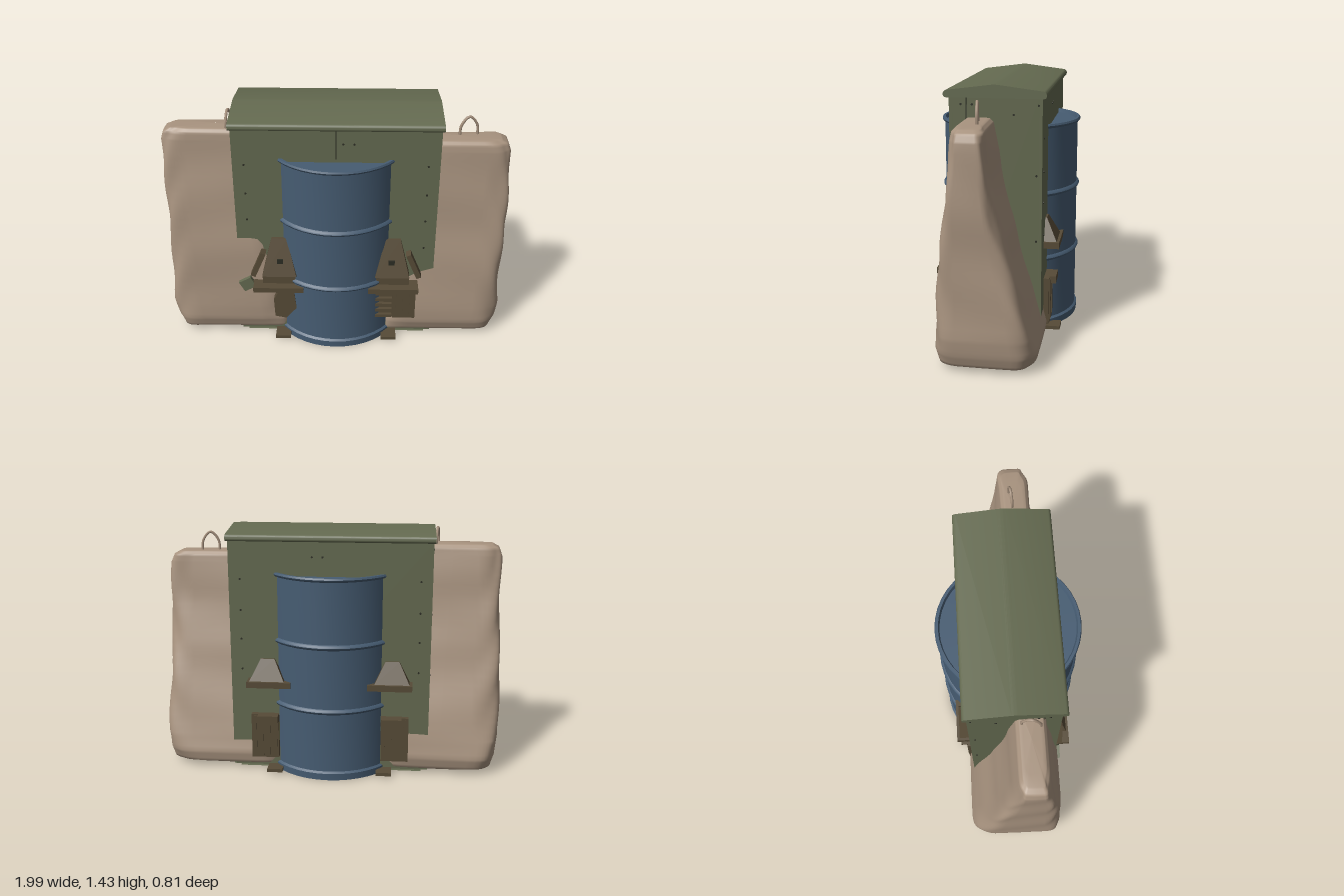
import * as THREE from 'three';
import { toCreasedNormals } from 'three/addons/utils/BufferGeometryUtils.js';

const mat = (name, color, side = THREE.FrontSide) => {
  const m = new THREE.MeshStandardMaterial({ color, side });
  m.name = name;
  return m;
};

export function createModel() {
  const model = new THREE.Group();
  const green = mat('olive green', 0x646a50, THREE.DoubleSide);
  const blue = mat('drum blue', 0x465c72);
  const tan = mat('canvas tan', 0xa8937f);
  const brown = mat('dark brown', 0x574b37, THREE.DoubleSide);
  const dark = mat('rivet dark', 0x2c2d24);

  const add = (name, geo, material, x = 0, y = 0, z = 0, parent = model) => {
    const m = new THREE.Mesh(geo, material);
    m.name = name;
    m.position.set(x, y, z);
    parent.add(m);
    return m;
  };
  // box given by its limits
  const box = (name, x0, x1, y0, y1, z0, z1, material, parent) =>
    add(name, new THREE.BoxGeometry(x1 - x0, y1 - y0, z1 - z0), material,
      (x0 + x1) / 2, (y0 + y1) / 2, (z0 + z1) / 2, parent);
  // tapered block with a flat back at z = 0 and its foot at y = 0
  const wedge = (w0, w1, h, d0, d1) => {
    const g = new THREE.BoxGeometry(1, 1, 1).toNonIndexed();
    const p = g.attributes.position;
    for (let i = 0; i < p.count; i++) {
      const top = p.getY(i) > 0;
      p.setXYZ(i, p.getX(i) * (top ? w1 : w0), top ? h : 0, p.getZ(i) > 0 ? (top ? d1 : d0) : 0);
    }
    g.computeVertexNormals();
    return g;
  };

  // Cabinet walls, open underneath
  box('cabinetFront', -0.575, 0.575, 0.02, 1.37, 0.225, 0.243, green);
  box('cabinetBack', -0.575, 0.575, 0.02, 1.37, -0.25, -0.232, green);
  for (const s of [-1, 1]) {
    const x = s * 0.566;
    box('cabinetSide', x - 0.009, x + 0.009, 0.02, 1.37, -0.232, 0.225, green);
    box('sideSeam', s * 0.577 - 0.002, s * 0.577 + 0.002, 0.9, 1.365, 0.149, 0.153, dark);
  }
  box('doorSeam', -0.002, 0.002, 1.19, 1.365, 0.242, 0.2445, dark);

  // Base plate with a recessed pyramid
  const plate = new THREE.Shape().moveTo(-0.54, -0.24).lineTo(0.54, -0.24).lineTo(0.54, 0.24).lineTo(-0.54, 0.24);
  plate.holes.push(new THREE.Path().moveTo(-0.17, -0.13).lineTo(-0.17, 0.13).lineTo(0.17, 0.13).lineTo(0.17, -0.13));
  add('basePlate', new THREE.ShapeGeometry(plate).rotateX(Math.PI / 2), green, 0, 0.005, 0);
  const recess = new THREE.ConeGeometry(Math.SQRT2, 0.1, 4, 1, true).rotateY(Math.PI / 4).scale(0.17, 1, 0.13).toNonIndexed();
  recess.computeVertexNormals();
  add('baseRecess', recess, green, 0, 0.055, 0);

  // Low gabled roof with rolled eaves
  const roof = new THREE.Shape().moveTo(-0.255, 1.365).lineTo(0.255, 1.365)
    .quadraticCurveTo(0.272, 1.365, 0.272, 1.382).quadraticCurveTo(0.272, 1.4, 0.255, 1.404)
    .lineTo(0.02, 1.434).quadraticCurveTo(0, 1.436, -0.02, 1.434).lineTo(-0.255, 1.404)
    .quadraticCurveTo(-0.272, 1.4, -0.272, 1.382).quadraticCurveTo(-0.272, 1.365, -0.255, 1.365);
  const roofGeo = new THREE.ExtrudeGeometry(roof, { depth: 1.17, bevelEnabled: false, curveSegments: 5 });
  add('roof', toCreasedNormals(roofGeo.rotateY(Math.PI / 2), 0.6), green, -0.585, 0, 0);

  // Rivets
  const rivet = new THREE.CylinderGeometry(0.006, 0.006, 0.006, 8).rotateX(Math.PI / 2);
  for (const z of [0.244, -0.251]) {
    for (const s of [-1, 1]) {
      for (const y of [0.62, 0.8, 0.97, 1.15]) add('rivet', rivet, dark, s * 0.51, y, z);
    }
    for (const x of [0.04, 0.1]) add('rivet', rivet, dark, x, 1.28, z);
  }
  for (const s of [-1, 1]) {
    for (const [y, z] of [[1.33, 0.18], [1.33, 0.12], [1.28, -0.1], [1.33, -0.23], [0.96, -0.22], [0.6, -0.22]]) {
      add('sideRivet', rivet, dark, s * 0.576, y, z).rotation.y = Math.PI / 2;
    }
  }

  // Drum running through the cabinet, open at the bottom
  const profile = [[0.375, 0.0], [0.4, 0.0], [0.402, 0.04], [0.39, 0.05]];
  for (const y of [0.415, 0.795]) {
    profile.push([0.39, y - 0.016], [0.4, y - 0.009], [0.404, y], [0.4, y + 0.009], [0.39, y + 0.016]);
  }
  profile.push([0.39, 1.165], [0.4, 1.17], [0.405, 1.18], [0.4, 1.19], [0.385, 1.19], [0.378, 1.17], [0, 1.17]);
  const drum = new THREE.LatheGeometry(profile.map(([r, y]) => new THREE.Vector2(r, y)), 40);
  add('drum', toCreasedNormals(drum, 0.7), blue);
  add('drumFootRing', new THREE.TorusGeometry(0.388, 0.012, 8, 40).rotateX(Math.PI / 2), blue, 0, 0.013, 0);

  // Soft sacks: rounded rectangular sections stacked in y, [y, front z, back z, outer x, scale]
  const sack = (s, top, swell) => {
    const rows = [
      [0.01, 0.23, -0.22, 0.9, 0.01], [0.012, 0.23, -0.22, 0.92, 0.95], [0.035, 0.255, -0.255, 0.955, 1],
      [0.1, 0.272, -0.272, 0.975, 1], [0.2, 0.265, -0.25, 0.99, 1], [0.4, 0.25, -0.19, 0.985, 1],
      [0.6, 0.23, -0.13, 0.985, 1], [0.8, 0.21, -0.075, 0.982, 1], [1.0, 0.187, -0.035, 0.978, 1],
      [1.2, 0.165, -0.01, 0.972, 1], [1.245, 0.158, -0.005, 0.962, 0.98], [1.265, 0.145, 0.01, 0.945, 0.9],
      [1.27, 0.14, 0.01, 0.93, 0.01]];
    const N = 56, SUB = 4, pos = [], idx = [];
    const count = (rows.length - 1) * SUB + 1;
    for (let r = 0; r < count; r++) {
      const k = Math.min(Math.floor(r / SUB), rows.length - 2), t = r / SUB - k;
      const [y, zf, zb, xo, sc] = rows[k].map((v, i) => THREE.MathUtils.lerp(v, rows[k + 1][i], t));
      const xi = 0.27 + 0.12 * y;
      const bulge = swell * Math.sin(Math.PI * Math.min(1, y / 1.2));
      for (let j = 0; j < N; j++) {
        const a = (j / N) * Math.PI * 2, c = Math.cos(a), n = Math.sin(a);
        const round = (v) => Math.sign(v) * Math.pow(Math.abs(v), 0.3);
        const wave = 0.005 * Math.sin(7 * y + 3 * a + s) + 0.004 * Math.sin(17 * y - 5 * a);
        const hx = ((xo - xi) / 2 + wave) * sc, hz = ((zf - zb) / 2 + bulge + wave) * sc;
        pos.push(s * ((xo + xi) / 2 + hx * round(c)), y * top / 1.27, (zf + zb) / 2 + hz * round(n));
      }
    }
    for (let r = 0; r < count - 1; r++) for (let j = 0; j < N; j++) {
      const a = r * N + j, b = r * N + (j + 1) % N, c = a + N, d = b + N;
      if (s > 0) idx.push(a, c, b, b, c, d);
      else idx.push(a, b, c, b, d, c);
    }
    const g = new THREE.BufferGeometry();
    g.setAttribute('position', new THREE.Float32BufferAttribute(pos, 3));
    g.setIndex(idx);
    g.computeVertexNormals();
    return g;
  };
  add('sackLeft', sack(1, 1.265, 0), tan);
  add('sackRight', sack(-1, 1.325, 0.012), tan);

  // Carrying loops on the sacks
  const loop = (name, x, y, z, turn) => {
    const curve = new THREE.CatmullRomCurve3([[-0.05, -0.02], [-0.045, 0.06], [0, 0.11], [0.045, 0.06], [0.05, -0.02]]
      .map(([u, v]) => new THREE.Vector3(u, v, 0)));
    add(name, new THREE.TubeGeometry(curve, 20, 0.008, 6), tan, x, y, z).rotation.y = turn;
  };
  loop('loopLeft', 0.74, 1.26, 0.06, 0.15);
  loop('loopRight', -0.605, 1.3, 0.08, 1.4);

  // Brackets: tapered cap, lip and shelf on each side of the drum
  const front = new THREE.Group(), back = new THREE.Group();
  front.name = 'frontBrackets';
  back.name = 'backBrackets';
  back.rotation.y = Math.PI;
  model.add(front, back);
  for (const s of [-1, 1]) {
    const span = (name, a, b, ...rest) => box(name, Math.min(s * a, s * b), Math.max(s * a, s * b), ...rest);
    add('bracketCap', wedge(0.2, 0.09, 0.22, 0.09, 0.02), brown, s * 0.33, 0.46, 0.24, front);
    span('bracketLip', 0.22, 0.43, 0.4, 0.46, 0.24, 0.31, brown, front);
    span('bracketShelf', 0.19, 0.485, 0.36, 0.392, 0.24, 0.35, brown, front);
    span('capPlate', 0.3, 0.35, 0.53, 0.57, 0.24, 0.307, dark, front).scale.set(0.7, 0.7, 1);
    const flap = add('sideFlap', new THREE.BoxGeometry(0.03, 0.17, 0.07), brown, s * 0.455, 0.52, 0.265, front);
    flap.rotation.z = s * 0.4;

    add('bracketCap', wedge(0.2, 0.08, 0.12, 0.07, 0.01), brown, s * 0.36, 0.565, 0.25, back);
    span('bracketShelf', 0.22, 0.475, 0.53, 0.565, 0.25, 0.335, brown, back);
    span('lowerBracket', 0.3, 0.42, 0.31, 0.35, 0.25, 0.315, brown, back);
    span('backPouch', 0.3, 0.46, 0.08, 0.35, 0.25, 0.28, brown, back);
    for (let i = 0; i < 4; i++) {
      span('pouchRib', 0.31 + i * 0.04, 0.325 + i * 0.04, 0.09, 0.34, 0.28, 0.286, brown, back);
    }
    // Feet under the base
    for (const z of [-0.28, 0.28]) {
      add('foot', new THREE.BoxGeometry(0.09, 0.02, 0.11), brown, s * 0.32, 0.018, z);
    }
  }

  // Ribbed pouch hanging at the front left
  box('pouch', 0.34, 0.475, 0.15, 0.36, 0.24, 0.3, brown, front);
  box('pouchSide', 0.24, 0.34, 0.15, 0.36, 0.24, 0.29, brown, front);
  for (let i = 0; i < 5; i++) box('pouchRib', 0.235, 0.335, 0.16 + i * 0.04, 0.18 + i * 0.04, 0.29, 0.31, brown, front);
  for (let i = 0; i < 3; i++) box('pouchFold', 0.36 + i * 0.04, 0.375 + i * 0.04, 0.16, 0.35, 0.3, 0.308, brown, front);

  // Worn holster hanging at the front right
  const holster = new THREE.Shape().moveTo(-0.365, 0.16).lineTo(-0.3, 0.145).lineTo(-0.235, 0.22)
    .lineTo(-0.25, 0.36).lineTo(-0.33, 0.36).lineTo(-0.37, 0.28);
  add('holster', new THREE.ExtrudeGeometry(holster, { depth: 0.07, bevelEnabled: false }), brown, 0, 0, 0.24, front);
  const tag = add('sideTag', new THREE.BoxGeometry(0.08, 0.07, 0.03), green, -0.525, 0.37, 0.27, front);
  tag.rotation.z = 0.5;
  box('tagArm', -0.54, -0.46, 0.37, 0.39, 0.25, 0.28, brown, front);

  return model;
}
